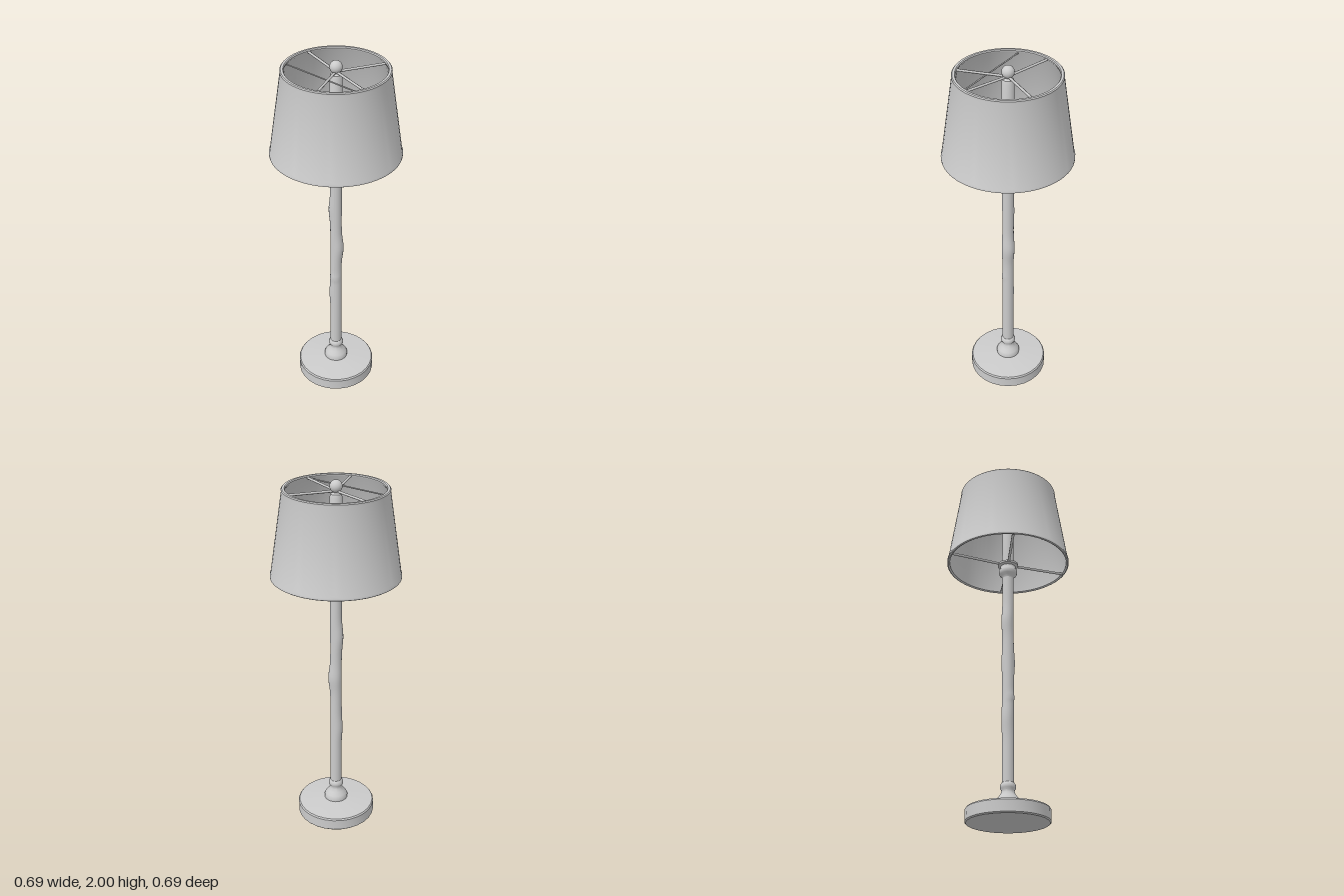
import * as THREE from 'three';
import { toCreasedNormals } from 'three/addons/utils/BufferGeometryUtils.js';

const material = new THREE.MeshStandardMaterial({ color: 0xcccccc, side: THREE.DoubleSide });

export function createModel() {
  const lamp = new THREE.Group();
  lamp.name = 'floorLamp';

  const add = (name, geometry) => {
    const mesh = new THREE.Mesh(geometry, material);
    mesh.name = name;
    lamp.add(mesh);
    return mesh;
  };
  const lathe = (points, sides, crease = 0.6) => toCreasedNormals(
    new THREE.LatheGeometry(points.map(([r, y]) => new THREE.Vector2(r, y)), sides), crease);
  const rod = (name, from, to, radius) => add(name, new THREE.TubeGeometry(
    new THREE.LineCurve3(new THREE.Vector3(...from), new THREE.Vector3(...to)), 1, radius, 6));

  // Round weighted foot with a slightly domed top
  add('base', lathe([[0, 0], [0.214, 0], [0.22, 0.006], [0.22, 0.066], [0.214, 0.074],
    [0.07, 0.088], [0, 0.09]], 28));

  // Turned collar at the foot of the pole
  add('lowerCollar', lathe([[0.066, 0.085], [0.067, 0.105], [0.06, 0.12], [0.046, 0.138], [0.036, 0.155],
    [0.034, 0.168], [0.041, 0.178], [0.042, 0.19], [0.038, 0.202], [0.031, 0.21]], 24, 0.9));

  // Pole with soft irregular swellings: [direction x, direction z, height, spread, amount]
  const swellings = [[-1, 0, 1.13, 0.07, 0.009], [1, 0, 0.88, 0.07, 0.01],
    [-1, 0, 0.56, 0.07, 0.006], [0, -1, 0.88, 0.06, 0.006], [0, 1, 0.68, 0.015, 0.005]];
  const pole = new THREE.CylinderGeometry(0.031, 0.032, 1.24, 20, 60, true).translate(0, 0.82, 0);
  const position = pole.attributes.position;
  for (let i = 0; i < position.count; i++) {
    const x = position.getX(i), y = position.getY(i), z = position.getZ(i);
    const r = Math.hypot(x, z);
    let grow = 0;
    for (const [dx, dz, height, spread, amount] of swellings) {
      const facing = Math.max(0, (x * dx + z * dz) / r);
      grow += amount * facing * Math.exp(-(((y - height) / spread) ** 2));
    }
    position.setXYZ(i, x * (1 + grow / r), y, z * (1 + grow / r));
  }
  pole.computeVertexNormals();
  add('pole', pole);

  // Cap at the head of the pole, with the hub for the lower spokes
  add('upperCollar', lathe([[0.031, 1.4], [0.036, 1.413], [0.047, 1.422], [0.052, 1.435], [0.052, 1.448],
    [0.043, 1.462], [0.043, 1.474], [0.058, 1.48], [0.058, 1.492], [0.033, 1.498]], 24, 0.7));

  // Socket stem inside the shade and the ball on top
  add('socketStem', lathe([[0.033, 1.49], [0.033, 1.91], [0.028, 1.928], [0.016, 1.936],
    [0.016, 1.948], [0.022, 1.952], [0.022, 1.96]], 20));
  add('finial', new THREE.SphereGeometry(0.033, 20, 14).translate(0, 1.967, 0));

  // Tapered shade: outer wall, rolled rims and inner wall in one closed profile
  add('shade', lathe([[0.331, 1.492], [0.34, 1.486], [0.346, 1.49], [0.346, 1.502], [0.342, 1.51],
    [0.276, 1.945], [0.277, 1.955], [0.272, 1.96], [0.26, 1.96], [0.256, 1.954], [0.258, 1.944],
    [0.265, 1.935], [0.331, 1.504], [0.331, 1.492]], 64, 0.7));

  // Spokes: upper set holds the finial, lower set reaches the bottom rim
  const diagonals = [[0.78, -0.62], [-0.8, -0.6], [0.78, 0.62], [-0.8, 0.6]];
  diagonals.forEach(([x, z], i) => {
    rod('lowerSpoke', [x * 0.03, 1.488, z * 0.03], [x * 0.336, 1.494, z * 0.336], 0.008);
    if (i < 3) rod('upperSpoke', [0, 1.942, 0], [x * 0.264, 1.948, z * 0.264], 0.007);
  });
  rod('upperSpoke', [0, 1.942, 0], [0, 1.948, 0.264], 0.007);

  // Thin brace wire across the front of the shade
  rod('braceWire', [-0.26, 1.94, 0.005], [0.19, 1.94, 0.18], 0.004);

  return lamp;
}
